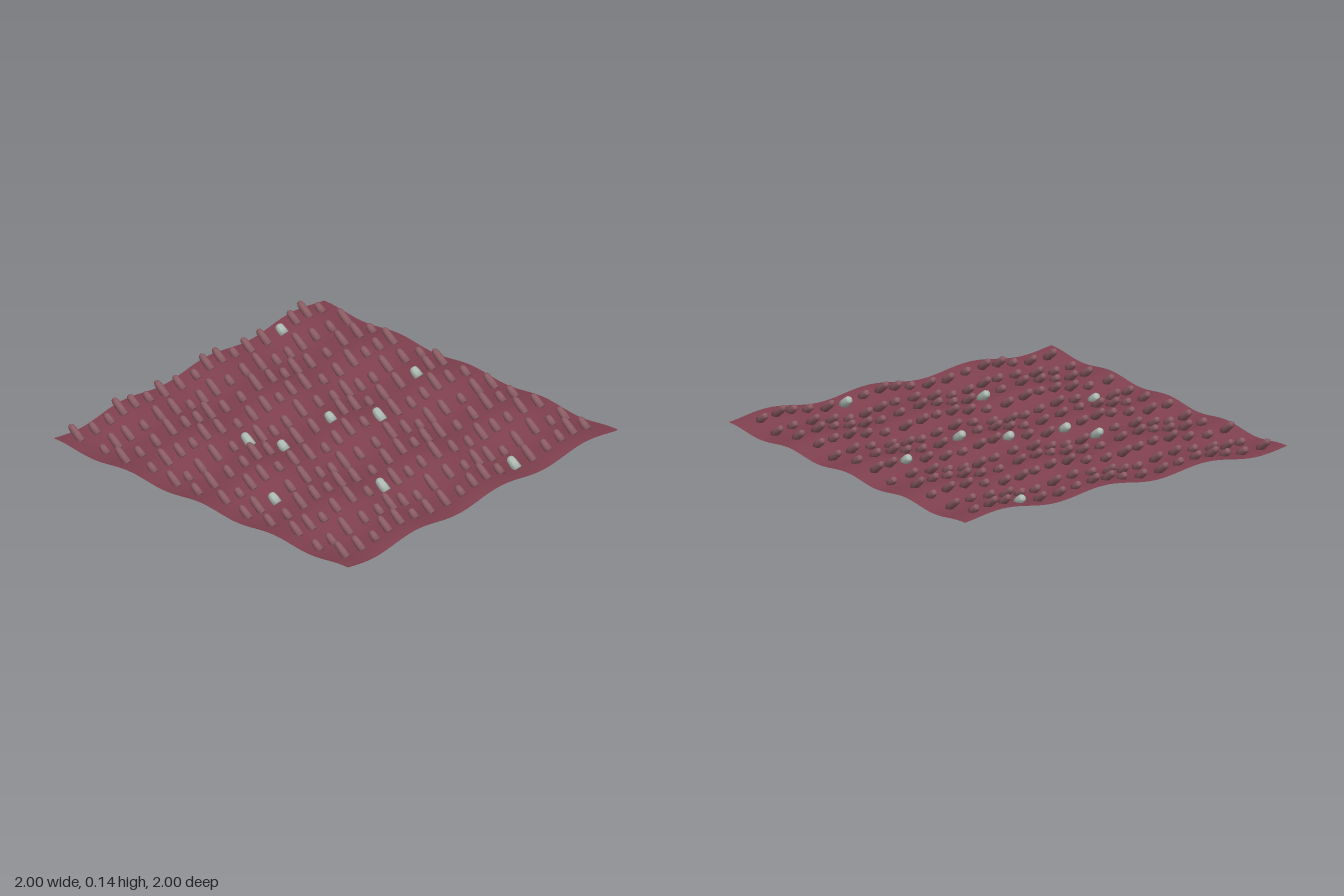
import * as THREE from 'three';

const ROWS = 12, COLS = 18, LEAN = 0.91;

// Height of the rippled sheet
const surface = (x, z) => 0.062 + 0.017 * Math.sin(10 * x + 0.27) + 0.011 * Math.cos(12.8 * z);

// Pale pegs, as row * COLS + column
const PALE = new Set([[0, 14], [4, 5], [5, 6], [5, 9], [5, 15], [6, 11], [7, 2], [9, 6], [11, 12]]
  .map(([r, c]) => r * COLS + c));

export function createModel() {
  const group = new THREE.Group();
  const skin = new THREE.MeshStandardMaterial({ color: 0x80404f, side: THREE.DoubleSide });
  skin.name = 'wine red skin';
  const flesh = new THREE.MeshStandardMaterial({ color: 0x8c5c64 });
  flesh.name = 'dusty pink';
  const pale = new THREE.MeshStandardMaterial({ color: 0xaebab4 });
  pale.name = 'pale grey green';

  // Rippled square sheet
  const sheetGeo = new THREE.PlaneGeometry(2, 2, 80, 80).rotateX(-Math.PI / 2);
  const pos = sheetGeo.attributes.position;
  for (let i = 0; i < pos.count; i++) pos.setY(i, surface(pos.getX(i), pos.getZ(i)));
  sheetGeo.computeVertexNormals();
  const sheet = new THREE.Mesh(sheetGeo, skin);
  sheet.name = 'sheet';
  group.add(sheet);

  // Round-tipped peg of unit length
  const profile = [[0, 0], [0.021, 0], [0.0205, 0.4], [0.018, 0.8], [0.012, 0.94], [0, 1]];
  const pegGeo = new THREE.LatheGeometry(profile.map(([x, y]) => new THREE.Vector2(x, y)), 8);

  // Rows of pegs leaning backwards, with wandering spacing and length
  const pegs = new THREE.Group();
  pegs.name = 'pegs';
  for (let r = 0; r < ROWS; r++) {
    for (let c = 0; c < COLS; c++) {
      const isPale = PALE.has(r * COLS + c);
      const x = -0.9 + 1.8 * c / (COLS - 1) + 0.016 * Math.sin(c + 2.3 * r);
      const z = -0.9 + 1.8 * r / (ROWS - 1);
      const length = 0.084 + 0.024 * Math.cos(2 * c - 2.92 * r);
      const width = isPale ? 1.2 : 1;
      const peg = new THREE.Mesh(pegGeo, isPale ? pale : flesh);
      peg.name = isPale ? 'palePeg' : 'peg';
      peg.position.set(x, surface(x, z), z);
      peg.rotation.x = -LEAN;
      peg.scale.set(width, length, width);
      pegs.add(peg);
    }
  }
  group.add(pegs);
  return group;
}
